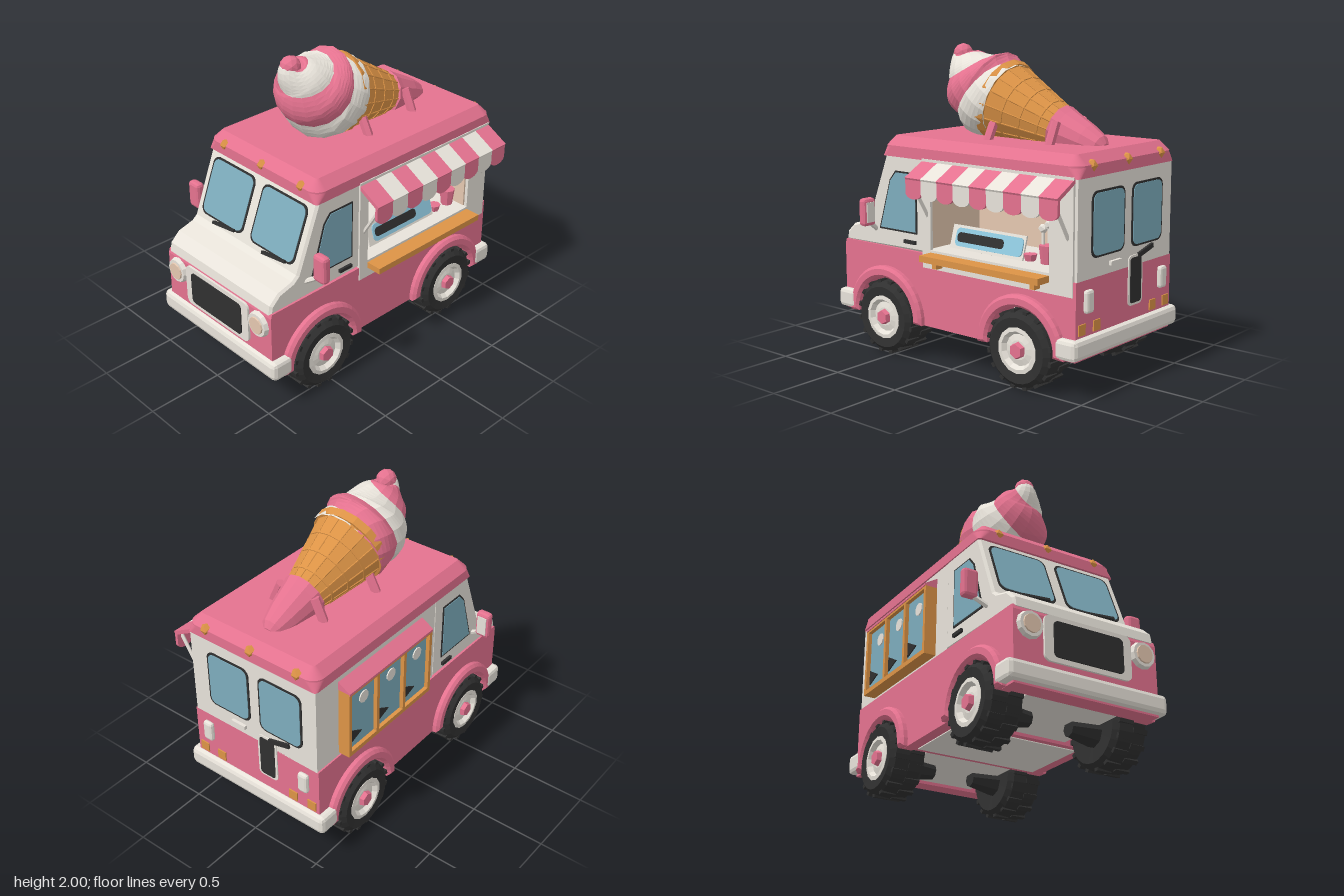
import * as THREE from 'three';
import { RoundedBoxGeometry } from 'three/addons/geometries/RoundedBoxGeometry.js';

const V = (x, y, z = 0) => new THREE.Vector3(x, y, z);

function makeMaterials() {
  const colours = {
    pink: 0xe4728f, white: 0xebe6dd, glass: 0x7dacbc, waffle: 0xdc9346,
    black: 0x303030, beige: 0xe4c7af, skyBlue: 0x8fc8de,
  };
  const out = {};
  for (const [name, color] of Object.entries(colours)) {
    out[name] = new THREE.MeshStandardMaterial({ color });
    out[name].name = name;
  }
  return out;
}

// Faceted mesh added to a parent
function add(parent, name, geo, mat, x = 0, y = 0, z = 0) {
  const g = geo.index ? geo.toNonIndexed() : geo;
  g.computeVertexNormals();
  const m = new THREE.Mesh(g, mat);
  m.name = name;
  m.position.set(x, y, z);
  parent.add(m);
  return m;
}
const box = (w, h, d) => new THREE.BoxGeometry(w, h, d);
const softBox = (w, h, d, r) => new RoundedBoxGeometry(w, h, d, 1, r);
const poly = pts => new THREE.Shape(pts.map(p => new THREE.Vector2(...p)));
const rect = (x0, y0, x1, y1) => poly([[x0, y0], [x1, y0], [x1, y1], [x0, y1]]);
const slab = (shape, depth, bevel = 0) => new THREE.ExtrudeGeometry(shape, {
  depth: depth - 2 * bevel, bevelEnabled: bevel > 0, bevelThickness: bevel, bevelSize: bevel,
  bevelOffset: -bevel, bevelSegments: 1, curveSegments: 10,
}).translate(0, 0, bevel);

function roundRect(w, h, r) {
  const s = new THREE.Shape(), a = w / 2, b = h / 2;
  s.absarc(a - r, b - r, r, 0, Math.PI / 2);
  s.absarc(r - a, b - r, r, Math.PI / 2, Math.PI);
  s.absarc(r - a, r - b, r, Math.PI, Math.PI * 1.5);
  s.absarc(a - r, r - b, r, Math.PI * 1.5, Math.PI * 2);
  return s;
}

function rod(parent, name, a, b, r, mat) {
  const m = add(parent, name, new THREE.CylinderGeometry(r, r, a.distanceTo(b), 6), mat);
  m.position.copy(a).lerp(b, 0.5);
  m.quaternion.setFromUnitVectors(V(0, 1, 0), b.clone().sub(a).normalize());
}

// Group whose local xy plane lies on a body face
function onFace(parent, name, origin, up, normal) {
  const g = new THREE.Group();
  g.name = name;
  g.quaternion.setFromRotationMatrix(new THREE.Matrix4().makeBasis(up.clone().cross(normal), up, normal));
  g.position.copy(origin);
  parent.add(g);
  return g;
}

function pane(face, x, y, w, h, M) {
  add(face, 'windowSeal', slab(roundRect(w, h, 0.05), 0.006), M.black, x, y, 0);
  add(face, 'windowGlass', slab(roundRect(w - 0.025, h - 0.025, 0.045), 0.0095), M.glass, x, y, 0);
}

// Roof slab with chamfered top; the lowest ring is pushed out so the sides hang straight
function roofGeometry(w, d, h, bevel) {
  const g = slab(roundRect(w, d, 0.08), h, bevel), p = g.attributes.position;
  for (let i = 0; i < p.count; i++) if (p.getZ(i) < 0.001)
    p.setXY(i, p.getX(i) * w / (w - 2 * bevel), p.getY(i) * d / (d - 2 * bevel));
  return g.rotateX(-Math.PI / 2);
}

function buildBody(root, M) {
  // Lower shell with wheel arches cut through
  const s = new THREE.Shape();
  s.moveTo(-0.955, 0.68);
  s.lineTo(-0.955, 0.24);
  for (const x of [-0.56, 0.56]) s.absarc(x, 0.24, 0.28, Math.PI, 0, true);
  for (const p of [[0.95, 0.24], [0.95, 0.71], [-0.945, 0.71]]) s.lineTo(...p);
  add(root, 'lowerBody', slab(s, 0.99), M.pink, 0, 0, -0.495);
  add(root, 'chassis', box(1.8, 0.34, 0.62), M.white, 0, 0.43, 0);
  add(root, 'floorPanel', box(0.48, 0.008, 0.84), M.white, 0, 0.238, 0);

  // Cab with hood and sloping windscreen
  const cab = poly([[-0.2, 0.71], [-0.2, 1.32], [-0.565, 1.32], [-0.735, 0.88], [-0.77, 0.85],
    [-0.88, 0.82], [-0.945, 0.76], [-0.955, 0.7]]);
  add(root, 'cab', slab(cab, 0.975, 0.015), M.white, 0, 0, -0.4875);

  // Rear upper walls around the serving recess
  add(root, 'rearWall', box(0.18, 0.61, 0.97), M.white, 0.86, 1.01, 0);
  add(root, 'farWall', box(1.0, 0.61, 0.485), M.white, 0.29, 1.01, -0.2425);
  add(root, 'header', box(1.0, 0.05, 0.485), M.white, 0.29, 1.29, 0.2425);
  add(root, 'recessFloor', box(1.0, 0.04, 0.485), M.white, 0.29, 0.72, 0.2425);
  add(root, 'recessBack', box(0.98, 0.53, 0.008), M.beige, 0.28, 1.0, 0.004);
  for (const x of [-0.206, 0.768]) add(root, 'recessSide', box(0.02, 0.53, 0.47), M.beige, x, 1.0, 0.235);
  const frame = rect(-0.24, 0.62, 0.93, 1.31);
  frame.holes.push(rect(-0.17, 0.74, 0.76, 1.27));
  add(root, 'hatchFrame', slab(frame, 0.02), M.white, 0, 0, 0.48);

  add(root, 'roof', roofGeometry(1.55, 0.99, 0.13, 0.06), M.pink, 0.185, 1.3, 0);
  for (const z of [-0.35, 0, 0.35]) for (const x of [-0.565, 0.94])
    add(root, 'roofLight', new THREE.IcosahedronGeometry(0.04, 0), M.waffle, x, 1.365, z);

  // Glazing
  const up = V(0.36, 0.933).normalize();
  const screen = onFace(root, 'windscreen', V(-0.65, 1.1), up, V(-up.y, up.x));
  for (const x of [-0.235, 0.235]) {
    pane(screen, x, -0.01, 0.4, 0.38, M);
    add(screen, 'wiper', box(0.2, 0.018, 0.025), M.black, x + 0.04, -0.205, 0.012).rotation.z = 0.12;
  }
  const rear = onFace(root, 'rearDoors', V(0.95, 0), V(0, 1, 0), V(1, 0, 0));
  for (const x of [-0.19, 0.215]) pane(rear, x, 1.02, 0.33, 0.39, M);
  for (const s of [1, -1]) {
    const at = d => (s > 0 ? 0.487 : -0.487 - d);
    const seal = poly([[-0.63, 0.82], [-0.295, 0.82], [-0.295, 1.21], [-0.48, 1.21], [-0.53, 1.15]]);
    const glass = poly([[-0.615, 0.832], [-0.306, 0.832], [-0.306, 1.2], [-0.474, 1.2], [-0.522, 1.145]]);
    add(root, 'cabWindowSeal', slab(seal, 0.006), M.black, 0, 0, at(0.006));
    add(root, 'cabWindow', slab(glass, 0.0095), M.glass, 0, 0, at(0.0095));
    add(root, 'doorHandle', box(0.1, 0.022, 0.02), M.black, -0.355, 0.765, s * 0.495);
    // Wing mirrors
    add(root, 'mirror', softBox(0.06, 0.18, 0.1, 0.02), M.pink, -0.64, 0.94, s * 0.59);
    add(root, 'mirrorFace', box(0.008, 0.13, 0.065), M.white, -0.609, 0.94, s * 0.59);
    rod(root, 'mirrorArm', V(-0.67, 0.81, s * 0.48), V(-0.64, 0.87, s * 0.57), 0.016, M.white);
  }

  // Rear door fittings
  add(rear, 'latchSurround', slab(roundRect(0.15, 0.31, 0.03), 0.006), M.white, 0.1, 0.62, 0);
  add(rear, 'latchPlate', slab(roundRect(0.115, 0.28, 0.02), 0.0095), M.black, 0.1, 0.62, 0);
  add(rear, 'latchArm', box(0.16, 0.03, 0.02), M.black, 0.2, 0.785, 0.005).rotation.z = 0.25;
  add(rear, 'rearHandle', box(0.11, 0.025, 0.02), M.white, -0.12, 0.77, 0.01);
  for (const s of [-1, 1]) {
    add(rear, 'tailLight', softBox(0.075, 0.14, 0.04, 0.018), M.white, s * 0.385, 0.585, 0.01);
    for (const x of [0.295, 0.44]) add(rear, 'reflector', box(0.065, 0.065, 0.008), M.waffle, s * x, 0.425, 0.004);
  }

  // Nose: grille and headlights
  const nose = onFace(root, 'nose', V(-0.957, 0), V(0, 1, 0), V(-1, 0, 0));
  add(nose, 'grilleSurround', slab(roundRect(0.6, 0.28, 0.04), 0.015), M.white, 0, 0.55, 0);
  add(nose, 'grille', slab(roundRect(0.48, 0.22, 0.03), 0.022), M.black, 0, 0.55, 0);
  for (const s of [-1, 1]) {
    const disc = (r, d) => new THREE.CylinderGeometry(r * 0.85, r, d, 12).rotateX(Math.PI / 2);
    add(nose, 'headlightRim', disc(0.09, 0.04), M.white, s * 0.39, 0.6, 0.005);
    add(nose, 'headlightLens', disc(0.065, 0.04), M.beige, s * 0.39, 0.6, 0.014);
  }

  // Bumpers wrapping the corners
  for (const s of [-1, 1]) {
    add(root, 'bumper', softBox(0.07, 0.125, 1.09, 0.03), M.white, s * 0.95, 0.315, 0);
    for (const z of [-1, 1]) add(root, 'bumperEnd', softBox(0.15, 0.125, 0.07, 0.025), M.white, s * 0.905, 0.315, z * 0.51);
  }
}

function buildWheels(root, M) {
  const tyre = [[0.1, -0.11], [0.2, -0.12], [0.232, -0.09], [0.24, 0], [0.232, 0.09], [0.2, 0.12], [0.14, 0.112], [0.13, 0.06]];
  const rim = [[0.145, 0.05], [0.143, 0.115], [0.118, 0.118], [0.098, 0.09], [0.06, 0.1], [0, 0.1]];
  const spin = (pts, n) => new THREE.LatheGeometry(pts.map(p => new THREE.Vector2(...p)), n).rotateX(Math.PI / 2);
  for (const x of [-0.56, 0.56]) for (const s of [-1, 1]) {
    const w = new THREE.Group();
    w.name = 'wheel';
    w.position.set(x, 0.248, s * 0.43);
    if (s < 0) w.rotation.y = Math.PI;
    root.add(w);
    add(w, 'tyre', spin(tyre, 24), M.black);
    add(w, 'tyreBack', new THREE.CylinderGeometry(0.12, 0.12, 0.02, 12).rotateX(Math.PI / 2), M.black, 0, 0, -0.1);
    for (let i = 0; i < 32; i++) {
      const a = i / 32 * Math.PI * 2;
      add(w, 'tread', box(0.02, 0.03, 0.1), M.black, Math.cos(a) * 0.235, Math.sin(a) * 0.235, i % 2 ? 0.05 : -0.05).rotation.z = a;
    }
    add(w, 'rim', spin(rim, 14), M.white);
    add(w, 'hubNut', new THREE.CylinderGeometry(0.045, 0.058, 0.05, 6).rotateX(Math.PI / 2), M.pink, 0, 0, 0.105);
    add(w, 'axle', new THREE.CylinderGeometry(0.09, 0.05, 0.2, 8).rotateX(Math.PI / 2), M.black, 0, -0.02, -0.19);
    // Flared arch
    const arch = new THREE.Shape();
    arch.absarc(0, 0, 0.325, -0.05, Math.PI + 0.05);
    arch.absarc(0, 0, 0.25, Math.PI + 0.05, -0.05, true);
    add(root, 'wheelArch', slab(arch, 0.13, 0.018), M.pink, x, 0.257, s > 0 ? 0.41 : -0.54);
  }
}

function buildServingSide(root, M) {
  // Striped awning with scalloped edge
  const n = 9, w = 1.17 / n;
  for (let i = 0; i < n; i++) {
    const mat = i % 2 ? M.white : M.pink, x = -0.24 + w * (i + 0.5);
    add(root, 'awningStripe', box(w, 0.025, 0.19), mat, x, 1.245, 0.562).rotation.x = 0.5;
    const flap = new THREE.Shape();
    flap.moveTo(w / 2, 0.08);
    flap.lineTo(-w / 2, 0.08);
    flap.lineTo(-w / 2, -0.01);
    flap.absellipse(0, -0.01, w / 2, 0.04, Math.PI, Math.PI * 2);
    add(root, 'awningFlap', slab(flap, 0.02), mat, x, 1.13, 0.625);
  }
  for (const x of [-0.2, 0.89]) rod(root, 'awningStrut', V(x, 1.18, 0.63), V(x, 0.95, 0.49), 0.012, M.white);

  // Counter
  add(root, 'counter', box(0.93, 0.04, 0.12), M.waffle, 0.295, 0.705, 0.545);
  for (const x of [-0.09, 0.68]) add(root, 'counterBracket', box(0.035, 0.05, 0.06), M.waffle, x, 0.665, 0.525);

  // Tilted display board with a plain dark band
  const board = new THREE.Group();
  board.name = 'displayBoard';
  board.position.set(0.215, 0.83, 0.4);
  board.rotation.x = -0.3;
  root.add(board);
  add(board, 'boardBacking', box(0.58, 0.15, 0.012), M.white);
  add(board, 'boardPanel', slab(roundRect(0.53, 0.115, 0.03), 0.008), M.skyBlue, 0.015, 0, 0.006);
  add(board, 'boardBand', slab(roundRect(0.37, 0.06, 0.025), 0.008), M.black, -0.05, 0, 0.008);

  // Cups and cones
  const cup = (r, h) => new THREE.CylinderGeometry(r, r * 0.75, h, 8);
  add(root, 'smallCup', cup(0.042, 0.04), M.pink, 0.545, 0.785, 0.4);
  add(root, 'tallCup', cup(0.05, 0.11), M.pink, 0.67, 0.82, 0.4);
  for (const [x, h] of [[0.64, 0.92], [0.685, 0.95]]) {
    add(root, 'spoon', box(0.015, 0.12, 0.015), M.white, x, h, 0.4);
    add(root, 'spoonBowl', new THREE.IcosahedronGeometry(0.03, 0), M.white, x, h + 0.05, 0.4);
  }
  for (let i = 0; i < 3; i++) add(root, 'stackedCone', cup(0.04, 0.07), M.waffle, 0.72, 0.84 + i * 0.065, 0.34);
}

function buildDisplayWindows(root, M) {
  // Three framed panes under a small canopy
  const frame = rect(-0.07, 0.73, 0.75, 1.2);
  for (let i = 0; i < 3; i++) {
    const x = -0.045 + i * 0.265;
    frame.holes.push(rect(x, 0.76, x + 0.24, 1.175));
    add(root, 'displayGlass', box(0.25, 0.43, 0.008), M.glass, x + 0.12, 0.967, -0.535);
    add(root, 'displayTreat', new THREE.CylinderGeometry(0.042, 0.042, 0.008, 10).rotateX(Math.PI / 2), M.white, x + 0.1, 1.08, -0.542);
    add(root, 'displayShade', slab(poly([[0, 0], [0, 0.1], [-0.11, 0.04]]), 0.008), M.black, x + 0.23, 0.8, -0.546);
  }
  add(root, 'displayFrame', slab(frame, 0.09), M.waffle, 0, 0, -0.565);
  const canopy = poly([[0.47, 1.19], [0.57, 1.19], [0.57, 1.205], [0.47, 1.265]]);
  add(root, 'displayCanopy', slab(canopy, 0.82).rotateY(Math.PI / 2), M.pink, -0.07, 0, 0);
}

// Twisted two-colour swirl: columns of faces follow the stripes
function swirlGeometry() {
  const curve = new THREE.CatmullRomCurve3([V(0.06, 1.64), V(-0.1, 1.695), V(-0.21, 1.765), V(-0.285, 1.85), V(-0.335, 1.92), V(-0.32, 1.965)]);
  const radii = [0.255, 0.28, 0.235, 0.155, 0.075, 0.02];
  const rings = 30, cols = 16, pos = [], idx = [];
  for (let i = 0; i <= rings; i++) {
    const t = i / rings, c = curve.getPoint(t), d = curve.getTangent(t), k = Math.min(4, Math.floor(t * 5));
    const r = THREE.MathUtils.lerp(radii[k], radii[k + 1], t * 5 - k);
    for (let j = 0; j < cols; j++) {
      const a = j / cols * Math.PI * 2, th = a + Math.PI * (0.2 - t * 3.4);
      const q = r * (0.92 + 0.1 * Math.abs(Math.sin(a)));
      pos.push(c.x - d.y * q * Math.cos(th), c.y + d.x * q * Math.cos(th), q * Math.sin(th));
    }
  }
  for (let j = 0; j < cols; j++) for (let i = 0; i < rings; i++) {
    const a = i * cols + j, b = i * cols + (j + 1) % cols;
    idx.push(a, b, b + cols, a, b + cols, a + cols);
  }
  const g = new THREE.BufferGeometry();
  g.setAttribute('position', new THREE.Float32BufferAttribute(pos, 3));
  g.setIndex(idx);
  g.addGroup(0, idx.length / 2, 0);
  g.addGroup(idx.length / 2, idx.length / 2, 1);
  return g;
}

function buildIceCream(root, M) {
  add(root, 'swirl', swirlGeometry(), [M.white, M.pink]);
  add(root, 'swirlTip', new THREE.IcosahedronGeometry(0.065, 1), M.pink, -0.335, 1.935, 0);
  const cone = new THREE.Group();
  cone.name = 'cone';
  cone.position.set(0.03, 1.65, 0);
  cone.rotation.z = 1.254;
  root.add(cone);
  const radius = y => 0.245 + y * 0.25;
  add(cone, 'waffleCone', new THREE.CylinderGeometry(0.245, radius(-0.5), 0.5, 16), M.waffle, 0, -0.25, 0);
  add(cone, 'coneRim', new THREE.CylinderGeometry(0.265, 0.255, 0.05, 16), M.waffle);
  // Raised waffle ribs
  for (const y of [-0.14, -0.26, -0.38])
    add(cone, 'waffleRib', new THREE.CylinderGeometry(radius(y) + 0.007, radius(y) + 0.004, 0.014, 16), M.waffle, 0, y, 0);
  for (let i = 0; i < 16; i++) {
    const a = i / 16 * Math.PI * 2, at = y => V(Math.sin(a) * radius(y), y, Math.cos(a) * radius(y));
    rod(cone, 'waffleRib', at(-0.03), at(-0.46), 0.005, M.waffle);
  }
  // Blunt sleeve over the point of the cone
  const sleeve = [[0, -0.8], [0.04, -0.795], [0.075, -0.76], [0.105, -0.66], [0.135, -0.5], [0.148, -0.45], [0.12, -0.44]];
  add(cone, 'sleeve', new THREE.LatheGeometry(sleeve.map(p => new THREE.Vector2(...p)), 12), M.pink);
  // Cradle posts
  for (const [x, z, top] of [[0.08, 0.25, 1.54], [0.52, 0.2, 1.56]]) for (const s of [-1, 1])
    rod(root, 'cradlePost', V(x, 1.41, s * z), V(x, top, s * (z - 0.07)), 0.03, M.pink);
}

export function createModel() {
  const root = new THREE.Group();
  root.name = 'iceCreamTruck';
  const M = makeMaterials();
  buildBody(root, M);
  buildWheels(root, M);
  buildServingSide(root, M);
  buildDisplayWindows(root, M);
  buildIceCream(root, M);
  return root;
}
